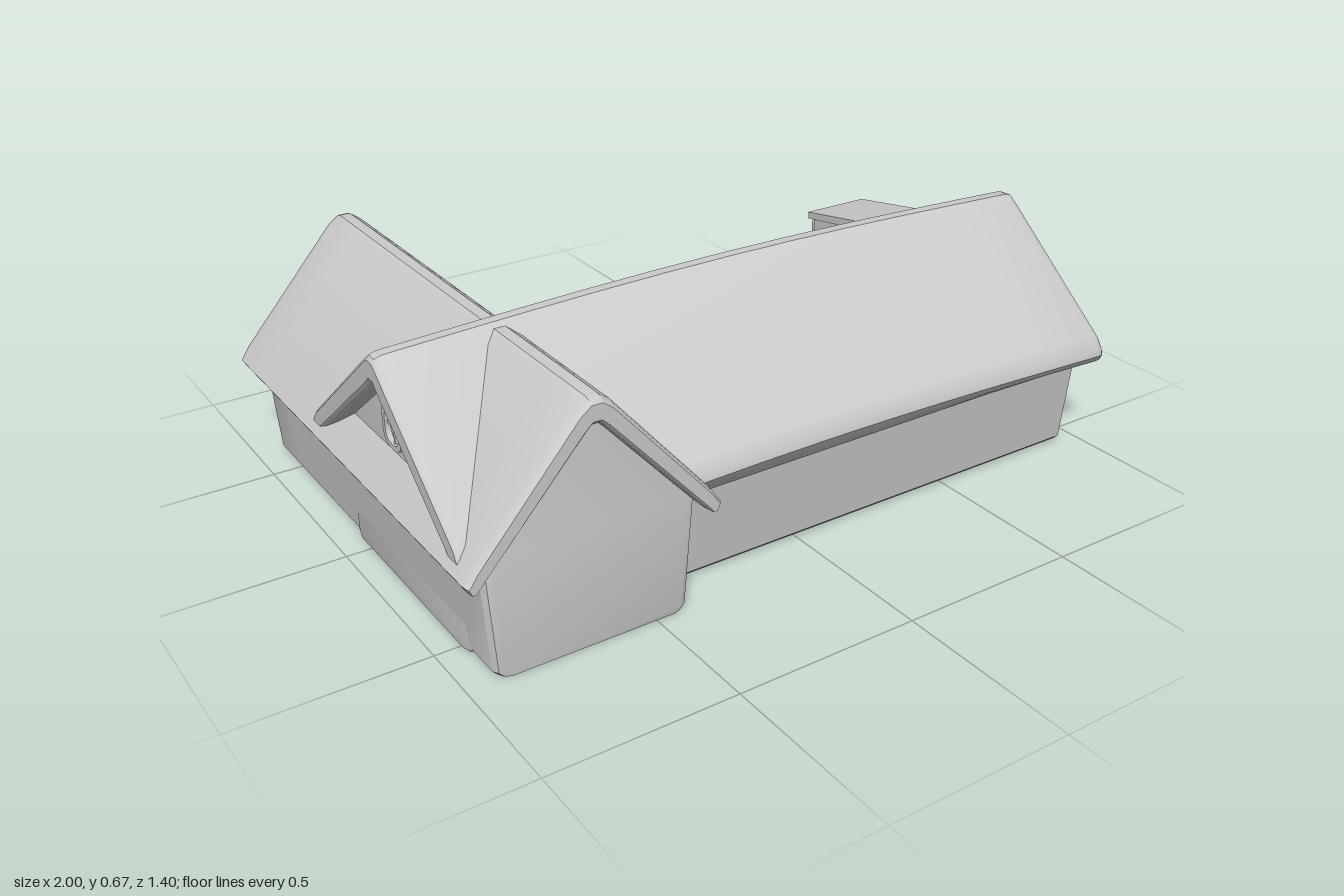
import * as THREE from 'three';
import { toCreasedNormals } from 'three/addons/utils/BufferGeometryUtils.js';

const material = new THREE.MeshStandardMaterial({ color: 0xcccccc });

function add(parent, name, geometry, x = 0, y = 0, z = 0) {
  const mesh = new THREE.Mesh(geometry, material);
  mesh.name = name;
  mesh.position.set(x, y, z);
  parent.add(mesh);
  return mesh;
}

// Sweeps a mirrored loop of [x, y] along z. Point i pairs with point N-1-i;
// the ends are softened by pulling each pair together.
function loft(loop, z0, z1, { lift = 0, pinch = 0.1, round = 0.02, angle = 0.6 } = {}) {
  const n = loop.length, steps = 10, stations = [[z0, pinch], [z0 + round * 0.3, pinch * 0.35]];
  for (let k = 0; k <= steps; k++) stations.push([z0 + round + (z1 - z0 - 2 * round) * k / steps, 0]);
  stations.push([z1 - round * 0.3, pinch * 0.35], [z1, pinch]);
  const positions = [], index = [];
  for (const [z, p] of stations) {
    const arch = lift * Math.sin(Math.PI * (z - z0) / (z1 - z0));
    loop.forEach(([x, y], i) => {
      const [mx, my] = loop[n - 1 - i];
      positions.push(x + (mx - x) * p / 2, y + (my - y) * p / 2 + (i < n / 2 ? arch : 0), z);
    });
  }
  const last = (stations.length - 1) * n;
  for (let k = 0; k < last; k += n) {
    for (let i = 0; i < n; i++) {
      const j = (i + 1) % n;
      index.push(k + i, k + n + i, k + n + j, k + i, k + n + j, k + j);
    }
  }
  for (let i = 0; i < n / 2 - 1; i++) {
    const j = n - 1 - i;
    index.push(last + i, last + j, last + j - 1, last + i, last + j - 1, last + i + 1);
    index.push(i, j - 1, j, i, i + 1, j - 1);
  }
  const geometry = new THREE.BufferGeometry();
  geometry.setAttribute('position', new THREE.Float32BufferAttribute(positions, 3));
  geometry.setIndex(index);
  return toCreasedNormals(geometry, angle);
}

// Mirrors a half profile running from the eave to the ridge
const mirror = (half) => [...half.map(([x, y]) => [-x, y]), ...half.slice().reverse()];

// Thick gabled roof shell with a rounded ridge and eaves
function roofLoop(w, eave, outer, inner, shoulder) {
  const top = [[w - 0.012, eave], [w, eave + 0.02], [w - 0.004, shoulder - 0.02],
    [w - 0.025, shoulder + 0.012], [0.045, outer - 0.025], [0.015, outer - 0.003]];
  const under = [[w - 0.03, eave], [w - 0.038, eave + 0.005], [w - 0.045, eave + 0.012],
    [w - 0.055, eave + 0.022], [0.03, inner - 0.02], [0.01, inner]];
  return [...mirror(top), ...mirror(under).reverse()];
}

// Gabled wall volume leaning slightly outwards towards the eaves
const wallLoop = (base, top, eave, ridge) =>
  mirror([[base - 0.015, 0], [base, 0.015], [top, eave], [0.015, ridge]]);

function roundedRect(w, h, r, T = THREE.Shape) {
  const s = new T(), x = w / 2, y = h / 2;
  s.moveTo(-x + r, -y);
  s.lineTo(x - r, -y); s.quadraticCurveTo(x, -y, x, -y + r);
  s.lineTo(x, y - r); s.quadraticCurveTo(x, y, x - r, y);
  s.lineTo(-x + r, y); s.quadraticCurveTo(-x, y, -x, y - r);
  s.lineTo(-x, -y + r); s.quadraticCurveTo(-x, -y, -x + r, -y);
  return s;
}

// Raised frame facing local +z, with optional glazing bars
function frame(parent, name, w, h, r, { bars = false, border = 0.014 } = {}) {
  const group = new THREE.Group();
  group.name = name;
  const shape = roundedRect(w, h, r);
  shape.holes.push(roundedRect(w - 2 * border, h - 2 * border, r * 0.75, THREE.Path));
  add(group, 'frame', new THREE.ExtrudeGeometry(shape, {
    depth: 0.018, bevelEnabled: false, curveSegments: 5 }), 0, 0, -0.006);
  if (bars) {
    add(group, 'uprightBar', new THREE.BoxGeometry(0.008, h - border, 0.012));
    add(group, 'crossBar', new THREE.BoxGeometry(w - border, 0.008, 0.012));
  }
  parent.add(group);
  return group;
}

export function createModel() {
  const house = new THREE.Group();
  house.name = 'house';

  // Long main wing, running along x
  const main = new THREE.Group();
  main.name = 'mainWing';
  main.rotation.y = Math.PI / 2;
  main.position.z = 0.225;
  add(main, 'mainWalls', loft(wallLoop(0.33, 0.362, 0.31, 0.585), -0.93, 0.96));
  add(main, 'mainRoof', loft(roofLoop(0.415, 0.27, 0.648, 0.57, 0.33), -0.985, 0.995,
    { lift: 0.027, pinch: 0.4, round: 0.025 }));
  house.add(main);

  // Short cross wing, running along z
  const cross = new THREE.Group();
  cross.name = 'crossWing';
  cross.position.x = -0.667;
  add(cross, 'crossWalls', loft(wallLoop(0.258, 0.282, 0.31, 0.585), -0.64, 0.665));
  add(cross, 'crossRoof', loft(roofLoop(0.333, 0.265, 0.65, 0.58, 0.31), -0.675, 0.695,
    { pinch: 0.4, round: 0.025 }));
  house.add(cross);

  // Shed dormer on the rear slope
  const side = new THREE.Shape([[-0.13, 0.61], [-0.1, 0.4], [0.09, 0.4], [0.09, 0.575]]
    .map(([x, y]) => new THREE.Vector2(x, y)));
  const dormer = add(house, 'dormer', new THREE.ExtrudeGeometry(side, {
    depth: 0.18, bevelEnabled: false }), 0.54);
  dormer.rotation.y = Math.PI / 2;
  const lid = new THREE.Shape([[-0.13, 0.595], [0.105, 0.556], [0.108, 0.575], [-0.13, 0.618]]
    .map(([x, y]) => new THREE.Vector2(x, y)));
  const dormerRoof = add(house, 'dormerRoof', new THREE.ExtrudeGeometry(lid, {
    depth: 0.2, bevelEnabled: false }), 0.53);
  dormerRoof.rotation.y = Math.PI / 2;
  const dormerWindow = frame(house, 'dormerWindow', 0.17, 0.11, 0.01);
  dormerWindow.position.set(0.63, 0.495, -0.095);
  dormerWindow.rotation.y = Math.PI;

  // Windows on the rear gable, the outer gable and the inner side wall
  const rearWindow = frame(house, 'rearGableWindow', 0.1, 0.115, 0.045, { bars: true });
  rearWindow.position.set(-0.665, 0.45, -0.642);
  rearWindow.rotation.y = Math.PI;
  const gableWindow = frame(house, 'sideGableWindow', 0.1, 0.115, 0.045, { bars: true });
  gableWindow.position.set(-0.932, 0.45, 0.225);
  gableWindow.rotation.y = -Math.PI / 2;
  const sideWindow = frame(house, 'sideWindow', 0.125, 0.125, 0.035);
  sideWindow.position.set(-0.397, 0.16, -0.41);
  sideWindow.rotation.set(0, Math.PI / 2, 0);

  // Rear door with its side handle
  const door = frame(house, 'door', 0.13, 0.2, 0.015, { border: 0.012 });
  door.position.set(-0.635, 0.12, -0.642);
  door.rotation.y = Math.PI;
  add(house, 'sidePlate', new THREE.BoxGeometry(0.05, 0.03, 0.018), -0.745, 0.11, -0.645);

  // Lantern on a bracket beside the door
  const lantern = new THREE.Group();
  lantern.name = 'lantern';
  lantern.position.set(-0.52, 0, -0.68);
  add(lantern, 'bracket', new THREE.BoxGeometry(0.026, 0.025, 0.07), 0, 0.22, 0.01);
  add(lantern, 'hanger', new THREE.CylinderGeometry(0.005, 0.005, 0.02, 8), 0, 0.2, 0);
  add(lantern, 'cap', new THREE.CylinderGeometry(0.01, 0.019, 0.014, 12), 0, 0.187, 0);
  add(lantern, 'glass', new THREE.CylinderGeometry(0.016, 0.011, 0.032, 12), 0, 0.164, 0);
  house.add(lantern);

  return house;
}
